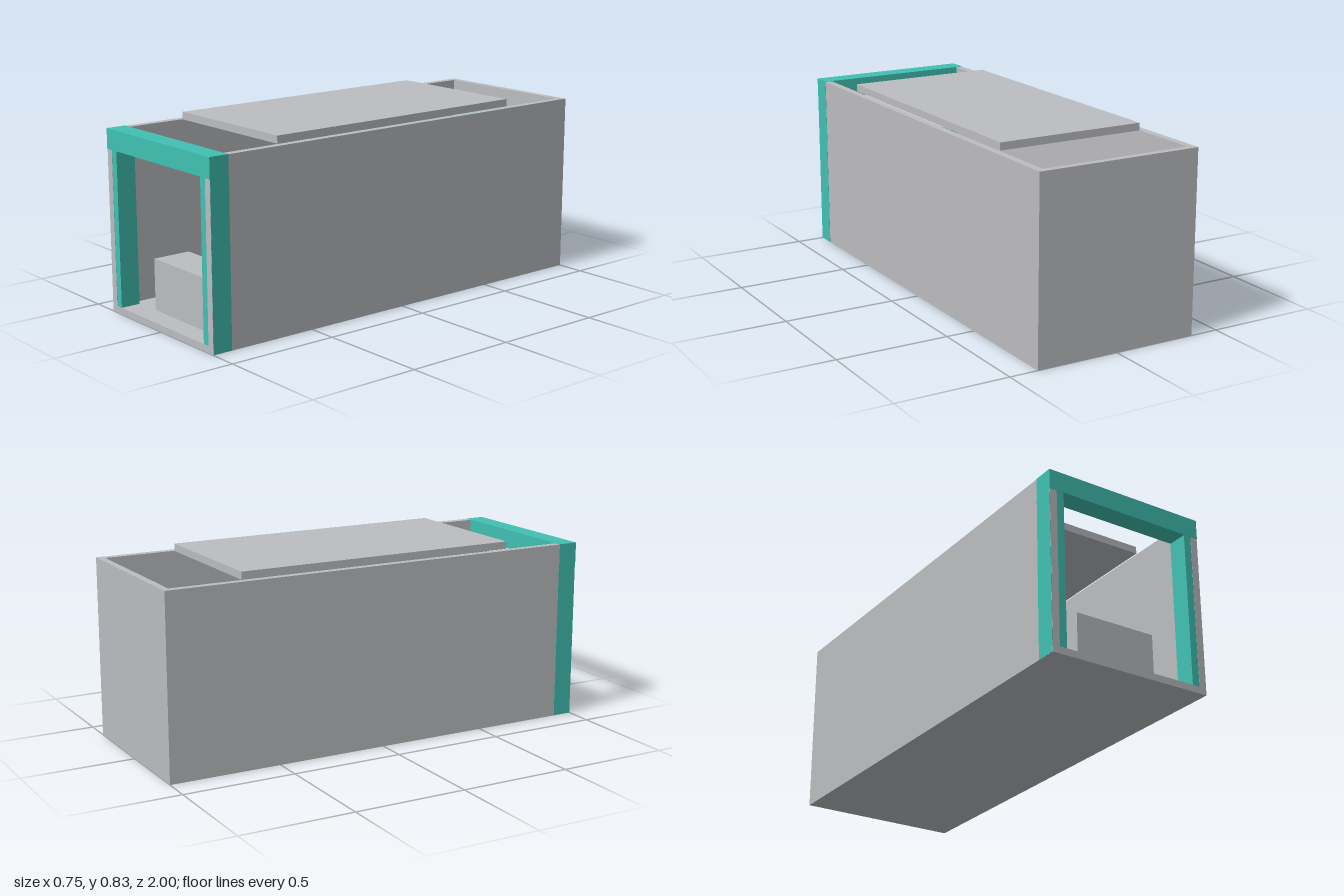
import * as THREE from 'three';

export function createModel() {
  const grey = new THREE.MeshStandardMaterial({ color: 0xbcbdc0 });
  grey.name = 'container grey';
  const teal = new THREE.MeshStandardMaterial({ color: 0x40c1b2 });
  teal.name = 'trim teal';

  const model = new THREE.Group();
  model.name = 'container';

  // Box given by its lower and upper corners
  const box = (name, material, [x0, y0, z0], [x1, y1, z1]) => {
    const mesh = new THREE.Mesh(new THREE.BoxGeometry(x1 - x0, y1 - y0, z1 - z0), material);
    mesh.position.set((x0 + x1) / 2, (y0 + y1) / 2, (z0 + z1) / 2);
    mesh.name = name;
    model.add(mesh);
  };

  const W = 0.373; // outer half width
  const I = 0.34; // inner half width
  const H = 0.8; // wall height
  const T = 0.03; // floor and back wall thickness

  // Open-topped, open-fronted shell
  box('floor', grey, [-W, 0, -1], [W, T, 1]);
  box('backWall', grey, [-I, T, -1], [I, H, -1 + T]);
  box('rightWall', grey, [-W, T, -1], [-I, H, 1]);
  box('leftWall', grey, [I, T, -1], [W, H, 1]);

  // Raised roof panel, leaving a gap at each end
  box('roofPanel', grey, [-0.336, H, -0.65], [0.336, 0.833, 0.645]);

  // Front frame: two posts and a beam, standing just proud of the walls
  const e = 0.001;
  for (const [side, s] of [['right', -1], ['left', 1]]) {
    const a = s * 0.306, b = s * (W + e);
    box(side + 'Post', teal, [Math.min(a, b), 0.001, 0.91], [Math.max(a, b), 0.713, 0.999]);
  }
  box('frontBeam', teal, [-W - e, 0.713, 0.91], [W + e, H + e, 1]);
  model.getObjectByName('frontBeam').position.z += e;

  // Screen on the back wall with its mount
  box('screenMount', grey, [-0.203, 0.28, -0.962], [0.203, 0.645, -0.945]);
  box('screen', teal, [-0.213, 0.262, -0.945], [0.213, 0.663, -0.923]);

  // Counter just inside the entrance
  box('counter', grey, [-0.187, T, 0.73], [0.187, 0.257, 0.905]);

  return model;
}
